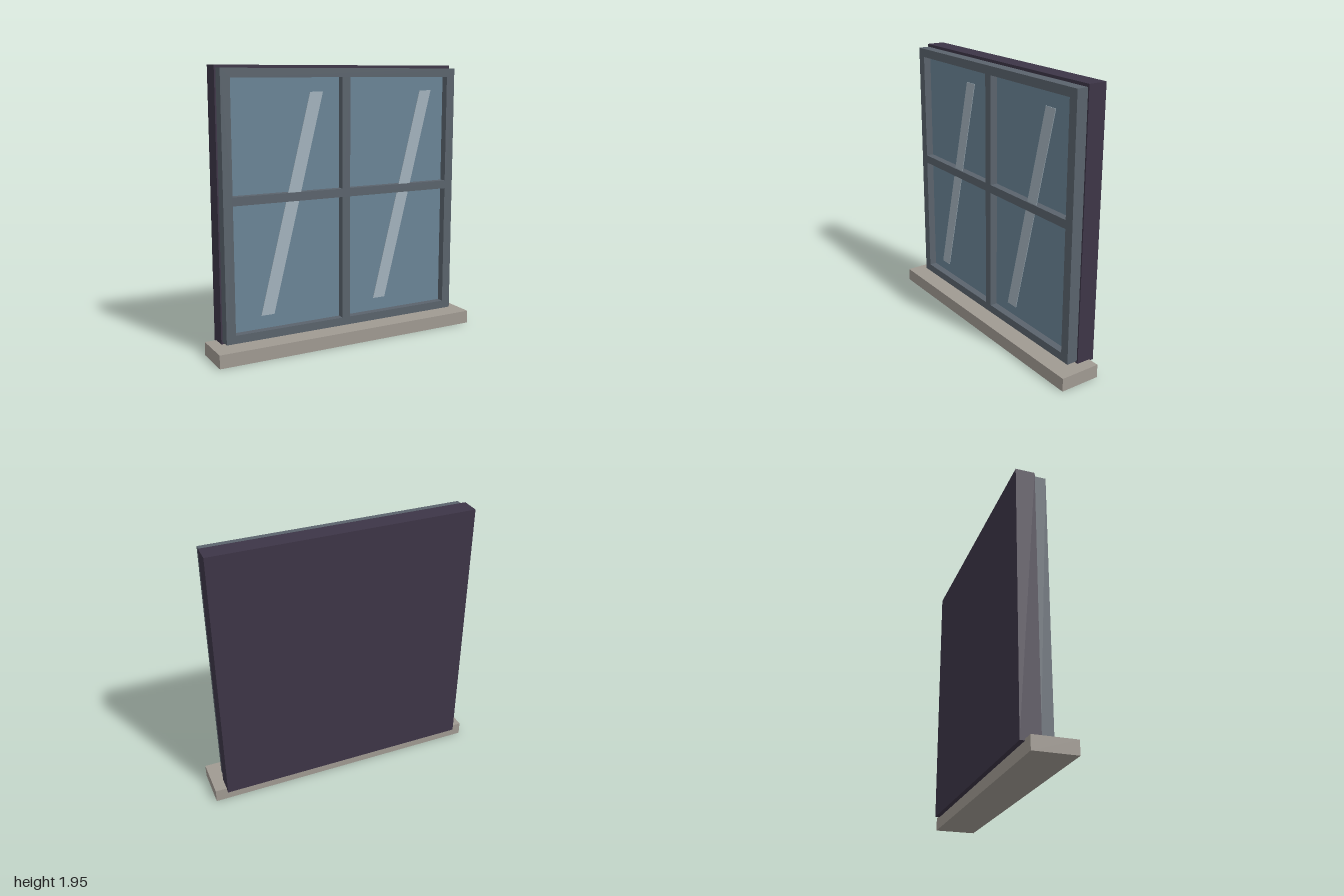
import * as THREE from 'three';

const material = (name, color) => {
  const m = new THREE.MeshStandardMaterial({ color });
  m.name = name;
  return m;
};

export function createModel() {
  const model = new THREE.Group();
  model.name = 'window';

  const dark = material('dark purple', 0x3d3547);
  const slate = material('slate grey', 0x5a636c);
  const blue = material('glass blue', 0x6a8496);
  const pale = material('pale glint', 0xa3b3bd);
  const stone = material('warm stone', 0xa09a92);

  const add = (name, geometry, mat) => {
    const mesh = new THREE.Mesh(geometry, mat);
    mesh.name = name;
    model.add(mesh);
    return mesh;
  };

  // Box given by its lower and upper limits on each axis
  const box = (name, mat, [x0, x1], [y0, y1], [z0, z1]) =>
    add(name, new THREE.BoxGeometry(x1 - x0, y1 - y0, z1 - z0), mat)
      .position.set((x0 + x1) / 2, (y0 + y1) / 2, (z0 + z1) / 2);

  const polygon = (PathType, points) =>
    new PathType(points.map(([x, y]) => new THREE.Vector2(x, y)));
  const corners = (x0, x1, y0, y1) => [[x0, y0], [x1, y0], [x1, y1], [x0, y1]];

  // Sill and backing
  box('sill', stone, [-1, 1], [0, 0.094], [-0.13, 0.163]);
  box('backing', dark, [-0.918, 0.918], [0.083, 1.95], [-0.163, -0.03]);

  // Frame with four pane openings
  const outline = polygon(THREE.Shape, corners(-0.908, 0.908, 0.11, 1.93));
  for (const [x0, x1] of [[-0.842, -0.03], [0.03, 0.842]]) {
    for (const [y0, y1] of [[0.167, 1.043], [1.102, 1.869]]) {
      outline.holes.push(polygon(THREE.Path, corners(x0, x1, y0, y1)));
    }
  }
  add('frame', new THREE.ExtrudeGeometry(outline, { depth: 0.08, bevelEnabled: false }), slate)
    .position.z = -0.03;

  // Glass, set back behind the bars
  box('glass', blue, [-0.86, 0.86], [0.15, 1.89], [-0.012, -0.004]);

  // Slanted glints, passing behind the crossbar
  for (const x of [-0.414, 0.467]) {
    const glint = polygon(THREE.Shape, [[-0.238, 0.273], [-0.142, 0.273], [0.238, 1.773], [0.142, 1.773]]);
    add('glint', new THREE.ExtrudeGeometry(glint, { depth: 0.004, bevelEnabled: false }), pale)
      .position.set(x, 0, 0.036);
  }

  return model;
}
